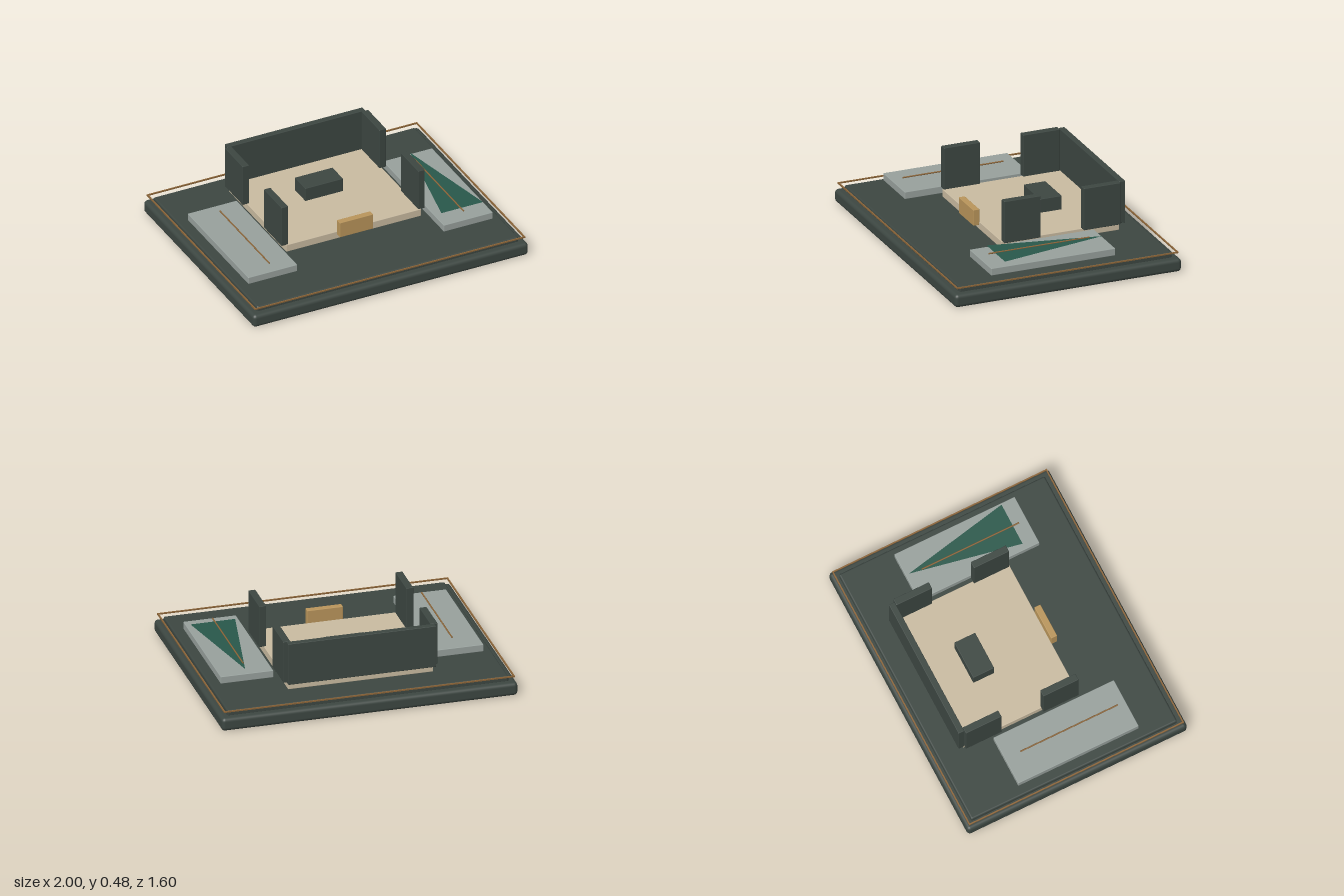
import * as THREE from 'three';
import { RoundedBoxGeometry } from 'three/addons/geometries/RoundedBoxGeometry.js';

const material = (name, color) => {
  const m = new THREE.MeshStandardMaterial({ color });
  m.name = name;
  return m;
};

export function createModel() {
  const model = new THREE.Group();
  model.name = 'pavilion';
  const dark = material('dark green grey', 0x3c4641);
  const sand = material('sand floor', 0xc8baa0);
  const stone = material('grey stone', 0x97a09c);
  const gold = material('gold', 0xb8945a);
  const bronze = material('bronze', 0x8a6438);
  const green = material('deep green', 0x28574a);
  green.side = THREE.DoubleSide;

  const add = (name, geometry, mat, x = 0, y = 0, z = 0) => {
    const mesh = new THREE.Mesh(geometry, mat);
    mesh.name = name;
    mesh.position.set(x, y, z);
    model.add(mesh);
    return mesh;
  };
  // Rounded block given by its extents on each axis
  const block = (name, mat, [x0, x1], [y0, y1], [z0, z1], r = 0.004) =>
    add(name, new RoundedBoxGeometry(x1 - x0, y1 - y0, z1 - z0, 3, r), mat,
      (x0 + x1) / 2, (y0 + y1) / 2, (z0 + z1) / 2);

  // Two-tier plinth
  block('base', dark, [-1, 1], [0, 0.09], [-0.8, 0.8], 0.025);
  block('upperBase', dark, [-0.95, 0.95], [0.08, 0.124], [-0.75, 0.75], 0.012);

  // Thin trim frame hovering around the plinth
  for (const s of [-1, 1]) {
    add('trimLong', new THREE.BoxGeometry(1.966, 0.009, 0.009), bronze, 0, 0.131, s * 0.778);
    add('trimShort', new THREE.BoxGeometry(0.009, 0.009, 1.556), bronze, s * 0.978, 0.131, 0);
  }

  // Room floor, walls and furniture
  block('floor', sand, [-0.49, 0.49], [0.137, 0.19], [-0.575, 0.255]);
  block('backWall', dark, [-0.5, 0.5], [0.187, 0.48], [-0.614, -0.572]);
  for (const s of [-1, 1]) {
    const xs = s > 0 ? [0.473, 0.521] : [-0.521, -0.473];
    block('rearSideWall', dark, xs, [0.187, 0.48], [-0.571, -0.312]);
    block('frontSideWall', dark, xs, [0.187, 0.48], [-0.007, 0.249]);
  }
  block('desk', dark, [-0.137, 0.137], [0.187, 0.285], [-0.322, -0.17]);
  block('frontPanel', gold, [-0.121, 0.121], [0.167, 0.278], [0.253, 0.297]);

  // Side terraces, each with a slender rod above it
  for (const s of [-1, 1]) {
    block('terrace', stone, s > 0 ? [0.532, 0.888] : [-0.888, -0.532], [0.14, 0.19], [-0.377, 0.5]);
    const rod = add('rod', new THREE.CylinderGeometry(0.005, 0.005, 0.71, 10), bronze, s * 0.706, 0.217, 0.085);
    rod.rotation.x = Math.PI / 2;
  }

  // Flat triangular sail on the left terrace
  const sail = new THREE.Shape([
    new THREE.Vector2(0.567, -0.395), new THREE.Vector2(0.869, -0.395), new THREE.Vector2(0.717, 0.357),
  ]);
  add('sail', new THREE.ShapeGeometry(sail).rotateX(-Math.PI / 2), green, 0, 0.215, 0);

  return model;
}
